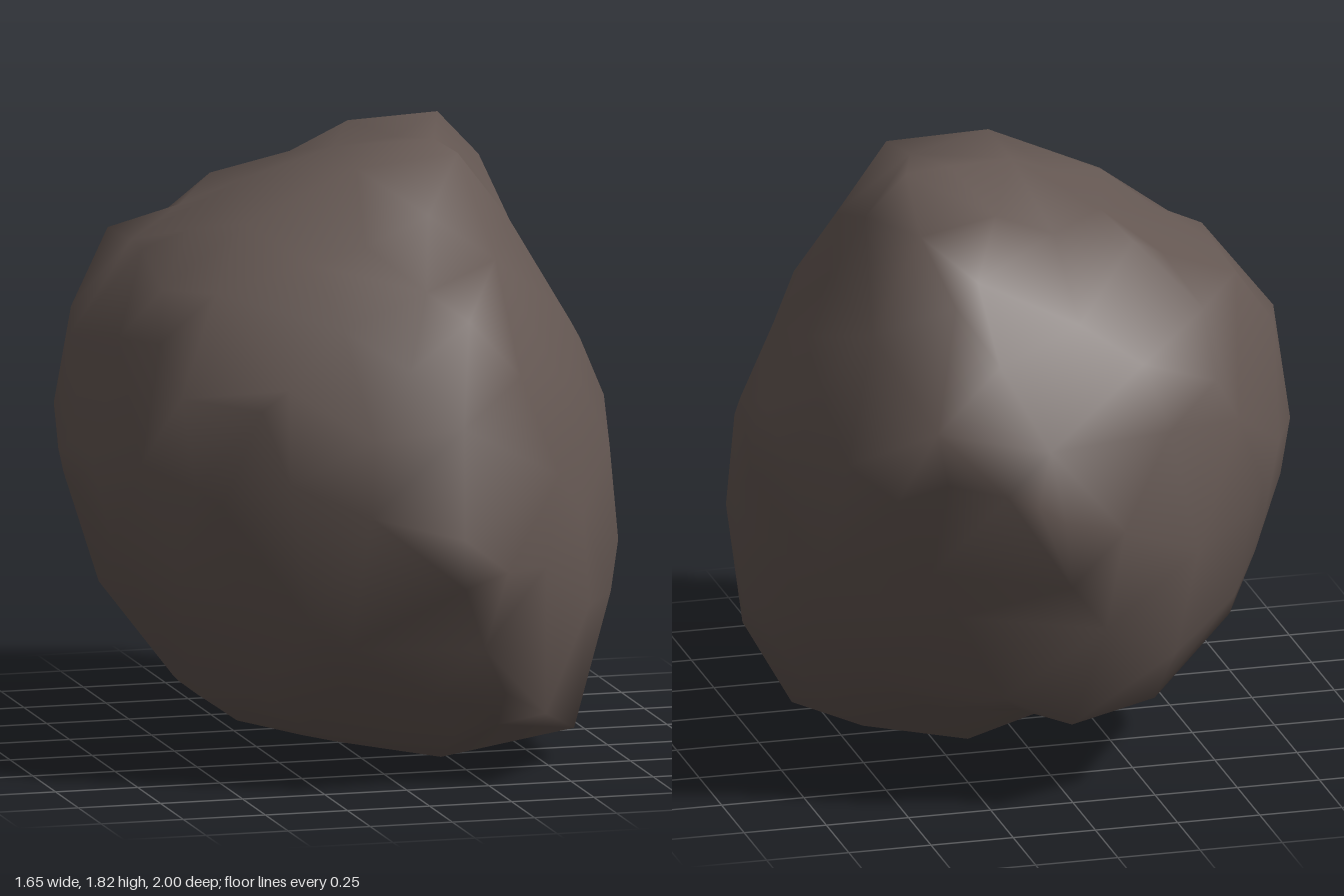
import * as THREE from 'three';
import { mergeVertices } from 'three/addons/utils/BufferGeometryUtils.js';
import { ConvexGeometry } from 'three/addons/geometries/ConvexGeometry.js';

// Outlines of the boulder about its middle, each cut along one direction.
const FRONT = [0, .86, .2, .87, .37, .91, .41, .89, .49, .78, .67, .43, .79, .22, .82, .11, .82, -.01, .8, -.21, .8, -.46,
  .77, -.57, .7, -.64, .61, -.81, .43, -.89, .1, -.91, -.13, -.87, -.34, -.8, -.51, -.68, -.73, -.39, -.82, -.08,
  -.83, .02, -.8, .15, -.79, .34, -.58, .59, -.45, .65, -.31, .76, -.13, .81];
const SIDE = [-.23, .85, 0, .88, .3, .91, .69, .64, .82, .49, .98, .27, .97, .04, 1, -.15, .94, -.31, .85, -.63, .52, -.69,
  .33, -.76, .13, -.91, -.44, -.88, -.56, -.79, -.72, -.71, -.79, -.63, -.85, -.48, -1, -.27, -.96, -.13, -.95, .2,
  -.75, .48, -.68, .56, -.63, .59, -.4, .65];
const TOP = [-.1, .97, .17, 1, .26, .98, .43, .94, .5, .89, .67, .69, .79, .5, .82, .2, .8, -.1, .76, -.33, .69, -.5,
  .59, -.63, .42, -.77, .25, -.97, .1, -1, -.15, -.91, -.37, -.81, -.6, -.61, -.72, -.43, -.81, -.23, -.82, .12,
  -.77, .35, -.68, .56, -.6, .66, -.35, .87];
const DIAGONAL_A = [-.11, .86, .02, .83, .15, .88, .33, .84, .47, .85, .81, .71, .92, .42, .95, .14, .87, -.25, .81, -.41,
  .59, -.75, .36, -.98, .12, -1.07, -.18, -.98, -.44, -.84, -.67, -.62, -.75, -.51, -.85, -.09, -.85, .04,
  -.82, .25, -.73, .43, -.58, .58, -.4, .73];
const DIAGONAL_B = [-.48, .83, -.11, .92, .14, .82, .45, .75, .47, .68, .61, .58, .76, .39, .82, .31, .85, -.04, .79, -.28,
  .72, -.46, .44, -.73, .15, -.87, -.33, -.88, -.63, -.83, -.7, -.68, -.79, -.4, -.87, -.25, -.95, -.01,
  -.94, .22, -.84, .46];
const DIAGONAL_C = [-.15, 1.01, -.09, 1.02, .06, .99, .25, .89, .53, .73, .7, .59, .83, .41, .86, .25, .88, -.02, .81, -.28,
  .66, -.53, .38, -.76, .1, -.89, -.15, -.9, -.68, -.81, -.86, -.74, -.88, -.33, -.85, -.09, -.75, .22,
  -.61, .47, -.44, .69];

const vec = (x, y, z) => new THREE.Vector3(x, y, z);
// Each cut: outline plus its horizontal and vertical axes
const CUTS = [
  [FRONT, vec(1, 0, 0), vec(0, 1, 0)],
  [SIDE, vec(0, 0, -1), vec(0, 1, 0)],
  [TOP, vec(1, 0, 0), vec(0, 0, -1)],
  [DIAGONAL_A, vec(.707, 0, -.707), vec(-.354, .866, -.354)],
  [DIAGONAL_B, vec(-.707, 0, .707), vec(.354, .866, .354)],
  [DIAGONAL_C, vec(-.707, 0, -.707), vec(.354, .866, -.354)],
];

// How many times (u, v) fits between the middle and the outline
function reach(outline, u, v) {
  let best = Infinity;
  const n = outline.length;
  for (let i = 0; i < n; i += 2) {
    const ax = outline[i], ay = outline[i + 1];
    const ex = outline[(i + 2) % n] - ax, ey = outline[(i + 3) % n] - ay;
    const det = u * ey - v * ex;
    if (Math.abs(det) < 1e-9) continue;
    const t = (ax * ey - ay * ex) / det;
    const s = (ax * v - ay * u) / det;
    if (t > 0 && s >= -1e-6 && s <= 1 + 1e-6) best = Math.min(best, t);
  }
  return best;
}

// The same for a 3D point against a set of cuts
const fit = (p, cuts) => Math.min(...cuts.map(([o, right, up]) => reach(o, p.dot(right), p.dot(up))));

// Corner of an outline, placed in the middle of the depth the other cuts allow
function corner(cut, u, v) {
  const [, right, up] = cut;
  const others = CUTS.filter(c => c !== cut);
  const base = right.clone().multiplyScalar(u).addScaledVector(up, v);
  const depthAxis = right.clone().cross(up);
  const samples = [];
  for (let s = -1; s <= 1; s += .02)
    samples.push([s, fit(base.clone().addScaledVector(depthAxis, s), others)]);
  const limit = Math.min(1, Math.max(...samples.map(a => a[1]))) - .01;
  const inside = samples.filter(a => a[1] >= limit);
  const depth = inside.reduce((sum, a) => sum + a[0], 0) / inside.length;
  return base.addScaledVector(depthAxis, depth);
}

function boulderGeometry() {
  const points = [], dirs = [];
  const add = (p, gap) => {
    const d = p.clone().normalize();
    if (dirs.some(e => e.angleTo(d) < gap)) return;
    points.push(p);
    dirs.push(d);
  };

  // Corners of the rock
  for (const cut of CUTS)
    for (let i = 0; i < cut[0].length; i += 2) add(corner(cut, cut[0][i], cut[0][i + 1]), .09);

  // Slightly worn points in the wide gaps between them
  const ball = new THREE.IcosahedronGeometry(1, 6).attributes.position;
  for (let i = 0; i < ball.count; i++) {
    const d = vec(0, 0, 0).fromBufferAttribute(ball, i).normalize();
    add(d.clone().multiplyScalar(fit(d, CUTS) * .97), .23);
  }

  // Join neighbouring directions into facets, then move each to its own distance
  let geo = new ConvexGeometry(dirs);
  const pos = geo.attributes.position;
  for (let i = 0; i < pos.count; i++) {
    const d = vec(0, 0, 0).fromBufferAttribute(pos, i);
    const p = points[dirs.findIndex(e => e.distanceToSquared(d) < 1e-6)];
    pos.setXYZ(i, p.x, p.y + .91, p.z);
  }
  geo.deleteAttribute('normal');
  geo = mergeVertices(geo, 1e-4);
  geo.computeVertexNormals();
  return geo;
}

export function createModel() {
  const group = new THREE.Group();
  group.name = 'rock';
  const stone = new THREE.MeshStandardMaterial({ color: 0x645752 });
  stone.name = 'brownGreyStone';
  const boulder = new THREE.Mesh(boulderGeometry(), stone);
  boulder.name = 'boulder';
  group.add(boulder);
  return group;
}
